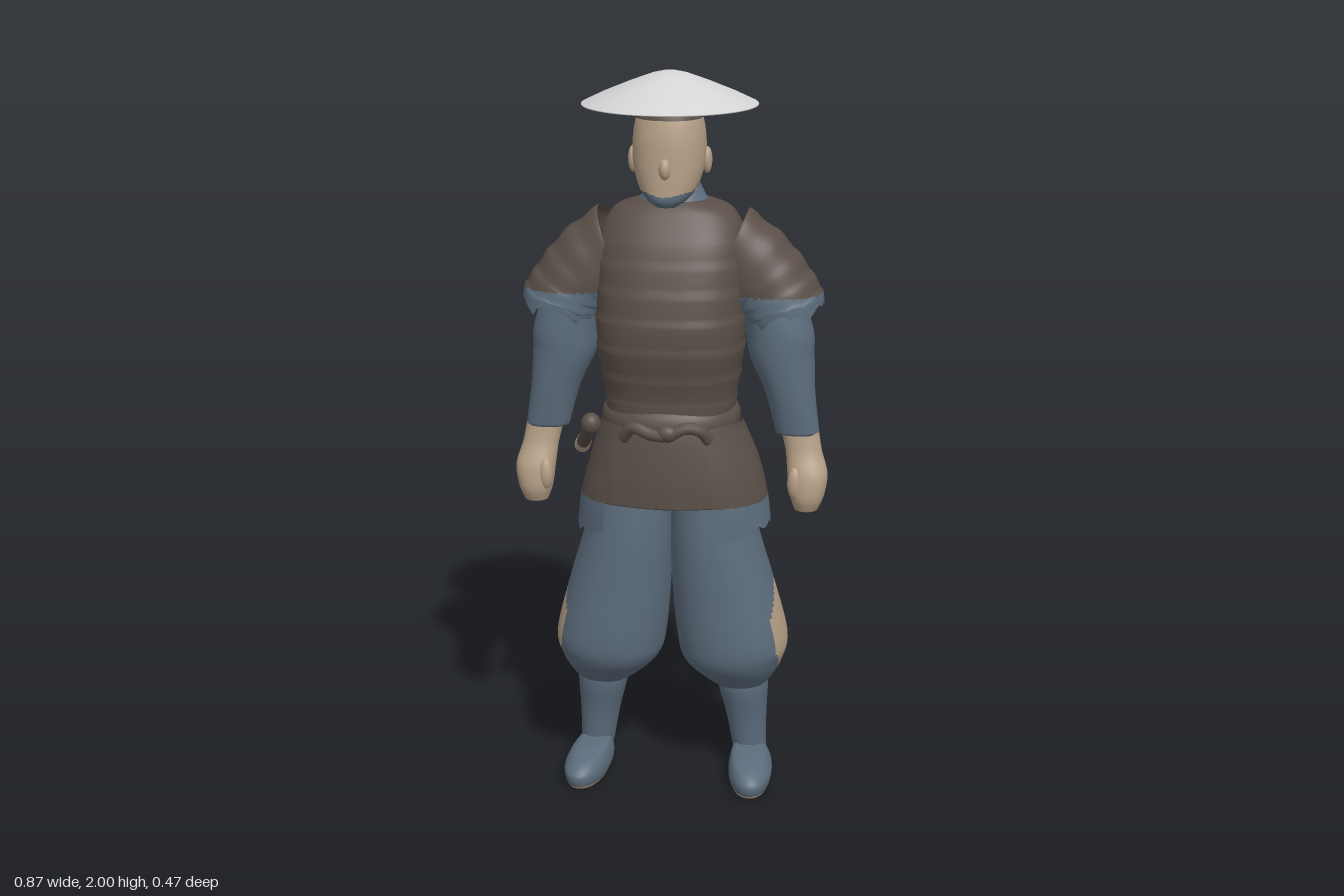
import * as THREE from 'three';

const flat = (name, color) =>
  new THREE.MeshStandardMaterial({ name, color, side: THREE.DoubleSide });

export function createModel() {
  const root = new THREE.Group();
  root.name = 'wanderingWarrior';
  const brown = flat('brown armour', 0x5a4f48);
  const blue = flat('blue cloth', 0x5d6d7d);
  const skin = flat('skin', 0xb59f86);
  const straw = flat('pale hat', 0xd4d4d4);

  const add = (name, geometry, material) => {
    const mesh = new THREE.Mesh(geometry, material);
    mesh.name = name;
    root.add(mesh);
    return mesh;
  };

  // Smooth skin through rings [x, y, z, rx, rz, tilt in degrees], listed top to bottom.
  // paint(point) picks the material index of each face; deform(point, angle, t) bends the rings.
  function loft(name, rings, materials, o = {}) {
    const { side = 1, rows = 40, cols = 44, power = 2.2, arc, cap = !arc, paint, deform } = o;
    const mats = [].concat(materials);
    const [a0, a1] = (arc || [0, 360]).map(THREE.MathUtils.degToRad);
    const sample = (f) => {
      const i = Math.min(Math.floor(f), rings.length - 2), u = f - i;
      const at = (k) => rings[Math.max(0, Math.min(rings.length - 1, k))];
      return [0, 1, 2, 3, 4, 5].map((c) => {
        const [p, q, r, s] = [-1, 0, 1, 2].map((d) => at(i + d)[c] || 0);
        return q + 0.5 * u * (r - p + u * (2 * p - 5 * q + 4 * r - s + u * (3 * (q - r) + s - p)));
      });
    };
    const bulge = (v) => Math.sign(v) * Math.abs(v) ** (2 / power);
    const pts = [], n = arc ? cols + 1 : cols;
    const first = cap ? -1 : 0, last = cap ? rows + 1 : rows;
    for (let i = first; i <= last; i++) {
      const t = Math.max(0, Math.min(1, i / rows));
      const [x, y, z, rx, rz, tilt] = sample(t * (rings.length - 1));
      const k = i < 0 || i > rows ? 0 : 1, a = THREE.MathUtils.degToRad(tilt);
      for (let j = 0; j < n; j++) {
        const th = a0 + ((a1 - a0) * j) / cols;
        const r = k * rx * bulge(Math.cos(th));
        const v = new THREE.Vector3(x + r * Math.cos(a), y + r * Math.sin(a), z + k * rz * bulge(Math.sin(th)));
        if (deform && k) deform(v, th, t);
        pts.push(v);
      }
    }
    const faces = mats.map(() => []);
    const face = (a, b, c) => {
      const mid = pts[a].clone().add(pts[b]).add(pts[c]).divideScalar(3);
      faces[paint ? paint(mid) : 0].push(...(side > 0 ? [a, b, c] : [a, c, b]));
    };
    for (let i = 0; i < last - first; i++) {
      for (let j = 0; j < cols; j++) {
        const a = i * n + j, b = i * n + ((j + 1) % n), c = a + n, d = b + n;
        face(a, b, c);
        face(b, d, c);
      }
    }
    const g = new THREE.BufferGeometry();
    g.setAttribute('position', new THREE.Float32BufferAttribute(pts.flatMap((p) => [p.x * side, p.y, p.z]), 3));
    g.setIndex(faces.flat());
    let start = 0;
    faces.forEach((f, m) => { g.addGroup(start, f.length, m); start += f.length; });
    g.computeVertexNormals();
    return add(name, g, mats.length > 1 ? mats : mats[0]);
  }

  const blob = (name, mat, pos, scale) => {
    const m = add(name, new THREE.SphereGeometry(1, 20, 14), mat);
    m.position.set(...pos);
    m.scale.set(...scale);
    return m;
  };
  const tube = (name, mat, points, radius) => add(name, new THREE.TubeGeometry(
    new THREE.CatmullRomCurve3(points.map((p) => new THREE.Vector3(...p))), 32, radius, 10), mat);
  // Ragged cloth edge, strongest at the lower end
  const torn = (amount) => (v, th, t) => {
    const w = Math.sin(th * 5) + 0.6 * Math.sin(th * 11 + 1) + 0.4 * Math.sin(th * 17);
    v.y += amount * w * t ** 4;
  };

  // Hat: shallow cone with a hollow underside
  const hatProfile = [[0, 1.93], [0.12, 1.925], [0.235, 1.911], [0.235, 1.914], [0.18, 1.94],
    [0.11, 1.969], [0.05, 1.991], [0.02, 1.998], [0, 2]];
  add('hat', new THREE.LatheGeometry(hatProfile.map((p) => new THREE.Vector2(...p)), 64), straw)
    .position.set(-0.006, 0, 0);

  // Head with hair on top and a beard on the chin
  loft('head', [
    [-0.005, 1.925, 0.01, 0.06, 0.065], [-0.005, 1.89, 0.012, 0.085, 0.088], [-0.005, 1.83, 0.014, 0.097, 0.1],
    [-0.005, 1.76, 0.02, 0.096, 0.098], [-0.005, 1.7, 0.04, 0.078, 0.08], [-0.005, 1.67, 0.065, 0.055, 0.055],
    [-0.005, 1.652, 0.08, 0.028, 0.03],
  ], [skin, brown, blue], {
    paint: (p) => (p.y > 1.88 ? 1 : p.y < 1.68 + Math.abs(p.x + 0.005) * 0.2 && p.z > 0.02 ? 2 : 0),
  });
  blob('nose', skin, [-0.005, 1.755, 0.115], [0.016, 0.028, 0.02]);
  blob('topknot', brown, [-0.005, 1.9, -0.07], [0.025, 0.03, 0.035]);
  for (const s of [-1, 1]) blob('ear', skin, [-0.005 + s * 0.1, 1.765, 0.005], [0.013, 0.036, 0.022]);
  loft('neck', [[0, 1.76, -0.015, 0.06, 0.06], [0, 1.6, -0.025, 0.07, 0.065]], skin, { rows: 8 });
  loft('collar', [[0, 1.7, -0.03, 0.07, 0.07], [0, 1.65, -0.03, 0.095, 0.085], [0, 1.58, -0.02, 0.15, 0.1]], blue, {
    rows: 12, cap: false, deform: (v, th, t) => { v.y -= 0.045 * Math.max(0, Math.sin(th)) * (1 - t); },
  });

  // Breastplate with overlapping bands
  loft('cuirass', [
    [0, 1.655, -0.03, 0.095, 0.08], [0, 1.625, -0.028, 0.165, 0.105], [0, 1.54, -0.012, 0.2, 0.14],
    [0, 1.4, 0.004, 0.203, 0.168], [0, 1.28, 0.012, 0.202, 0.174], [0, 1.15, 0.012, 0.184, 0.15],
    [0, 1.08, 0.015, 0.176, 0.142],
  ], brown, {
    rows: 72, power: 2.5,
    deform: (v) => {
      if (v.y > 1.56 || v.y < 1.12) return;
      const k = 1 + 0.022 * ((v.y / 0.075) % 1 - 0.5);
      v.x *= k;
      v.z *= k;
    },
  });
  // Skirt, belt and knots
  loft('skirt', [
    [0, 1.1, 0.015, 0.175, 0.142], [0, 1.02, 0.022, 0.197, 0.153], [0, 0.92, 0.023, 0.222, 0.163],
    [0, 0.84, 0.02, 0.232, 0.168],
  ], brown, {
    power: 2.4, deform: (v, th, t) => {
      const k = 1 + 0.012 * t * Math.sin(th * 9);
      v.x *= k;
      v.z *= k;
    },
  });
  loft('belt', [[0, 1.105, 0.015, 0.172, 0.14], [0, 1.085, 0.015, 0.187, 0.153], [0, 1.06, 0.016, 0.19, 0.157],
    [0, 1.04, 0.016, 0.184, 0.148]], brown, { rows: 12 });
  tube('beltBow', brown, [[-0.115, 1.03, 0.155], [-0.085, 1.065, 0.175], [-0.03, 1.05, 0.185], [0.01, 1.05, 0.187],
    [0.06, 1.07, 0.18], [0.1, 1.06, 0.17], [0.12, 1.03, 0.155]], 0.017);
  blob('bowKnot', brown, [0.01, 1.055, 0.185], [0.03, 0.024, 0.022]);
  blob('backKnot', brown, [0, 1.055, -0.14], [0.045, 0.035, 0.022]);

  // Hanging hip panels with torn cloth hems
  const hem = (p) => (p.y < 0.84 ? 1 : 0);
  loft('leftHipPanel', [[0, 1.05, 0.015, 0.196, 0.165], [0, 0.94, 0.015, 0.243, 0.178],
    [0, 0.84, 0.015, 0.268, 0.182], [0, 0.76, 0.015, 0.278, 0.18]],
  [brown, blue], { arc: [-62, 62], paint: hem, deform: torn(0.012) });
  loft('rightHipPanel', [[0, 1.05, 0.015, 0.194, 0.162], [0, 0.94, 0.015, 0.225, 0.176],
    [0, 0.84, 0.015, 0.25, 0.178], [0, 0.73, 0.01, 0.262, 0.168]],
  [brown, blue], { side: -1, arc: [-15, 50], paint: hem, deform: torn(0.018) });

  // Short sword pushed through the belt
  tube('scabbard', brown, [[-0.2, 1.07, 0.16], [-0.235, 1.0, 0.0], [-0.275, 0.92, -0.15]], 0.02);
  tube('scabbardTip', skin, [[-0.27, 0.93, -0.13], [-0.285, 0.9, -0.185]], 0.023);
  blob('scabbardEnd', skin, [-0.285, 0.9, -0.185], [0.023, 0.023, 0.018]);
  blob('swordPommel', brown, [-0.2, 1.07, 0.165], [0.027, 0.03, 0.027]);

  for (const side of [-1, 1]) {
    const label = (part) => (side > 0 ? 'left' : 'right') + part;
    // Shoulder guard with a ragged cloth cuff
    loft(label('ShoulderGuard'), [
      [0.165, 1.525, -0.025, 0.113, 0.1, 70], [0.22, 1.465, -0.025, 0.122, 0.112, 50],
      [0.27, 1.415, -0.027, 0.114, 0.122, 32], [0.3, 1.375, -0.027, 0.112, 0.13, 20],
      [0.31, 1.352, -0.027, 0.104, 0.13, 12],
    ], [brown, blue], {
      side, paint: (p) => (p.y > 1.41 ? 0 : 1), cap: false,
      deform: (v, th, t) => {
        torn(0.012)(v, th, t);
        v.y += 0.004 * Math.sin(t * 34);
      },
    });
    loft(label('Sleeve'), [
      [0.25, 1.44, -0.02, 0.085, 0.085], [0.29, 1.31, -0.02, 0.092, 0.094], [0.3, 1.23, -0.02, 0.088, 0.092],
      [0.325, 1.13, -0.006, 0.068, 0.07], [0.347, 1.02, 0.004, 0.06, 0.047],
    ], blue, { side });
    // Fist and thumb
    loft(label('Hand'), [
      [0.353, 1.03, 0.005, 0.052, 0.042], [0.366, 0.97, 0.015, 0.05, 0.042], [0.378, 0.91, 0.03, 0.055, 0.05],
      [0.378, 0.85, 0.035, 0.047, 0.05], [0.376, 0.81, 0.035, 0.032, 0.036],
    ], skin, { side, rows: 24 });
    blob(label('Thumb'), skin, [side * 0.345, 0.89, 0.065], [0.02, 0.045, 0.02]);

    // Baggy trouser leg with a bare patch on the outside
    loft(label('Trouser'), [
      [0.11, 0.88, 0.012, 0.105, 0.14], [0.122, 0.73, 0.012, 0.122, 0.148], [0.145, 0.58, 0.004, 0.142, 0.155],
      [0.172, 0.42, -0.007, 0.155, 0.163], [0.175, 0.35, -0.01, 0.14, 0.148], [0.188, 0.295, -0.018, 0.1, 0.11],
      [0.195, 0.268, -0.025, 0.072, 0.082],
    ], [blue, skin], {
      side, rows: 80, cols: 72,
      paint: (p) => (p.x > 0.2 && Math.abs(p.z + 0.01) < Math.min(0.103, p.y - 0.295, 0.605 - p.y) &&
        p.y < 0.58 ? 1 : 0),
    });
    loft(label('Legging'), [
      [0.2, 0.3, -0.025, 0.072, 0.085], [0.203, 0.25, -0.025, 0.07, 0.083], [0.212, 0.16, -0.03, 0.057, 0.066],
      [0.222, 0.05, -0.033, 0.047, 0.053],
    ], blue, { side, rows: 20 });
    // Shoe with a pale sole and heel opening
    loft(label('Shoe'), [
      [0.224, 0.08, 0.01, 0.035, 0.085], [0.228, 0.068, 0.045, 0.05, 0.125], [0.232, 0.042, 0.06, 0.061, 0.147],
      [0.232, 0.018, 0.06, 0.061, 0.149], [0.232, 0, 0.06, 0.054, 0.14],
    ], [blue, skin], {
      side, rows: 24,
      paint: (p) => (p.y < 0.007 || (p.y > 0.05 && p.z < -0.055) ? 1 : 0),
      deform: (v) => { v.x += 0.06 * (v.z - 0.06); },
    });
  }
  return root;
}
